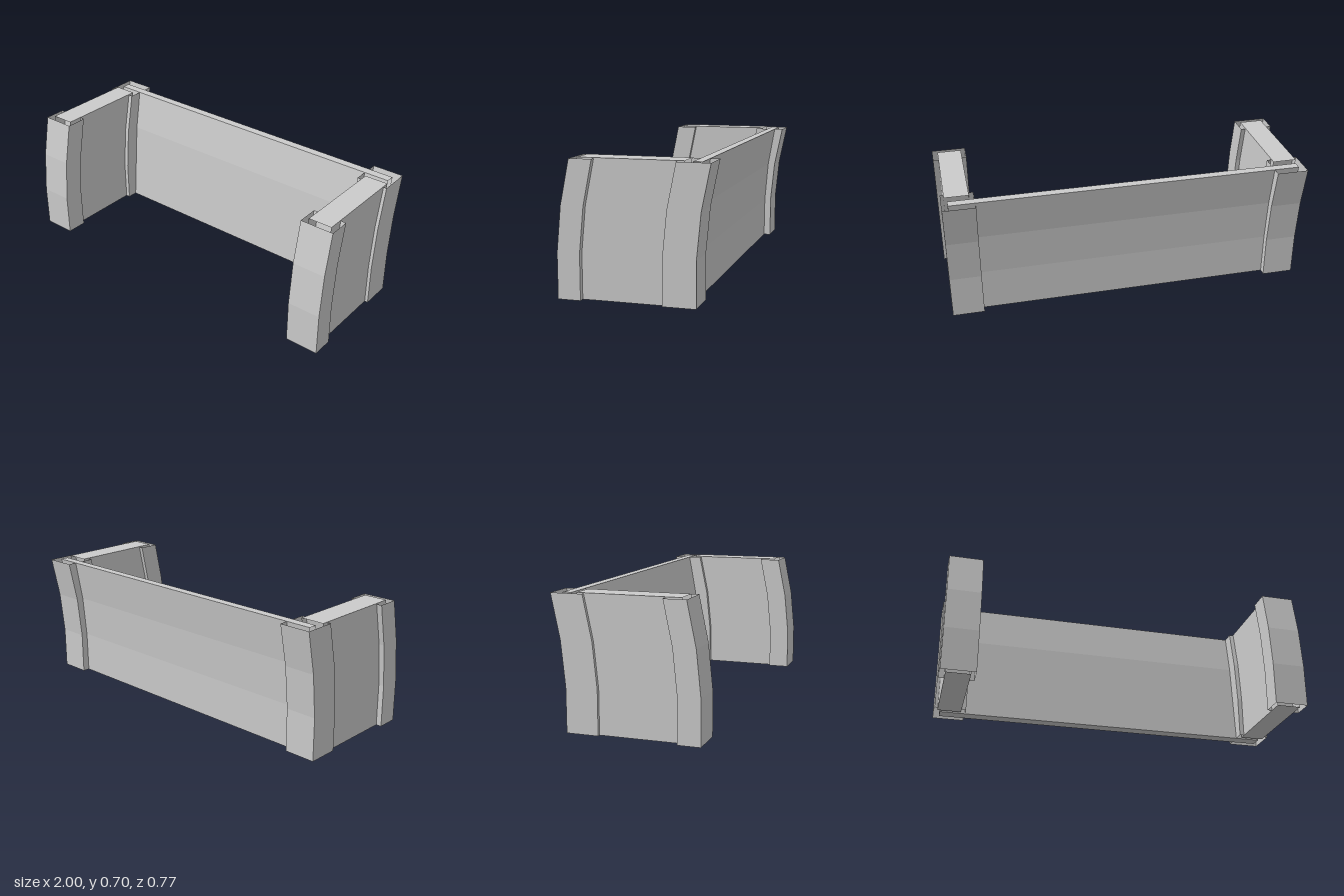
import * as THREE from 'three';

const material = new THREE.MeshStandardMaterial({ color: 0xcccccc, flatShading: true, side: THREE.DoubleSide });

// Shared backward bend: [height, z offset]
const bend = [[0, 0], [0.235, 0], [0.47, -0.023], [0.7, -0.07]];
const lean = (z0, z1, top = 0.7) => bend.map(([y, dz], i) => [i === 3 ? top : y, z0 + dz, z1 + dz]);

// Hollow shell from a profile of [height, back z, front z]; walls and caps are switched on individually
function bentShell(name, x0, x1, profile, { sides = true, ends = true, caps = false } = {}) {
  const positions = [];
  const quad = (a, b, c, d) => positions.push(...a, ...b, ...c, ...a, ...c, ...d);
  // Corner rings, counter-clockwise seen from above
  const rings = profile.map(([y, z0, z1]) => [[x0, y, z1], [x1, y, z1], [x1, y, z0], [x0, y, z0]]);
  for (let i = 0; i < rings.length - 1; i++) {
    const low = rings[i], high = rings[i + 1];
    for (let k = 0; k < 4; k++) {
      const n = (k + 1) % 4;
      if (k % 2 === 0 ? ends : sides) quad(low[k], low[n], high[n], high[k]);
    }
  }
  if (caps) {
    const b = rings[0];
    quad(...rings[rings.length - 1]);
    quad(b[3], b[2], b[1], b[0]);
  }
  const geometry = new THREE.BufferGeometry();
  geometry.setAttribute('position', new THREE.Float32BufferAttribute(positions, 3));
  geometry.computeVertexNormals();
  const mesh = new THREE.Mesh(geometry, material);
  mesh.name = name;
  return mesh;
}

export function createModel() {
  const model = new THREE.Group();
  model.name = 'bentBarrier';

  // Long back wall, thicker at the foot, its ends tucked into the rear posts
  const wallProfile = [[0, -0.276, -0.207], [0.235, -0.278, -0.228], [0.47, -0.297, -0.249], [0.7, -0.337, -0.29]];
  model.add(bentShell('backWall', -0.955, 0.955, wallProfile, { sides: false, caps: true }));

  for (const [label, s] of [['left', 1], ['right', -1]]) {
    const add = (name, a, b, profile, options) =>
      model.add(bentShell(label + name, Math.min(a * s, b * s), Math.max(a * s, b * s), profile, options));
    // Open-topped posts and the side wall running between them
    add('FrontPost', 0.815, 1.0, lean(0.269, 0.387));
    add('RearPost', 0.815, 0.988, lean(-0.316, -0.147));
    add('SideWall', 0.84, 0.97, lean(-0.185, 0.355, 0.704), { ends: false, caps: true });
  }
  return model;
}
